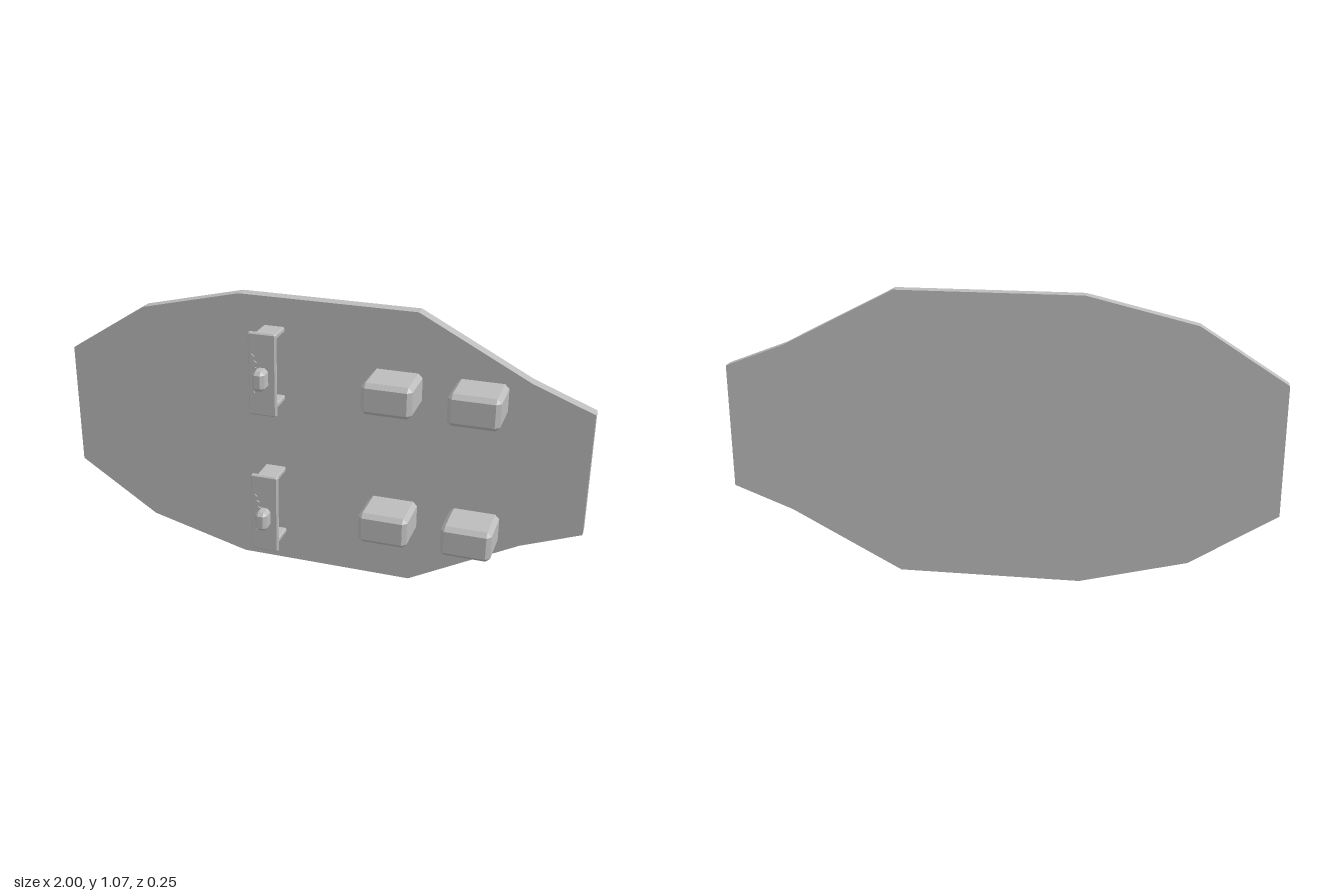
import * as THREE from 'three';
import { ConvexGeometry } from 'three/addons/geometries/ConvexGeometry.js';

const grey = new THREE.MeshStandardMaterial({ color: 0xbcbcbc });
grey.name = 'grey';

// Box with flat chamfered edges, given by its extents
function chamferBox(name, [x0, x1], [y0, y1], [z0, z1], c) {
  const half = [(x1 - x0) / 2, (y1 - y0) / 2, (z1 - z0) / 2];
  const points = [];
  for (const sx of [-1, 1]) for (const sy of [-1, 1]) for (const sz of [-1, 1]) {
    for (let axis = 0; axis < 3; axis++) {
      const p = half.map((h, i) => (i === axis ? h : h - c));
      points.push(new THREE.Vector3(p[0] * sx, p[1] * sy, p[2] * sz));
    }
  }
  const mesh = new THREE.Mesh(new ConvexGeometry(points), grey);
  mesh.position.set((x0 + x1) / 2, (y0 + y1) / 2, (z0 + z1) / 2);
  mesh.name = name;
  return mesh;
}

// Bracketed control panel with a knob and an arc of small marks
function createPanel(y, knobY) {
  const g = new THREE.Group();
  g.name = 'controlPanel';
  g.add(chamferBox('facePlate', [-0.216, -0.11], [y - 0.158, y + 0.158], [0.037, 0.055], 0.005));
  for (const s of [-1, 1]) {
    const armY = y + s * 0.133;
    g.add(chamferBox('bracketArm', [-0.205, -0.124], [armY - 0.01, armY + 0.01], [-0.081, 0.037], 0.004));
  }
  g.add(chamferBox('knobStem', [-0.178, -0.15], [knobY - 0.007, knobY + 0.007], [0.05, 0.075], 0.002));
  g.add(chamferBox('knob', [-0.177, -0.13], [knobY - 0.038, knobY + 0.038], [0.064, 0.127], 0.013));
  for (let i = -3; i <= 3; i++) {
    const mark = new THREE.Mesh(new THREE.BoxGeometry(0.013, 0.006, 0.008), grey);
    mark.position.set(-0.18 - 0.0018 * i * i, y + i * 0.024, 0.056);
    mark.rotation.z = -i * 0.25;
    mark.name = 'dialMark';
    g.add(mark);
  }
  return g;
}

export function createModel() {
  const model = new THREE.Group();
  model.name = 'panelBoard';

  // Faceted backing board
  const outline = [
    [-1, 0.3], [-0.69, 0.1], [-0.3, 0], [0.37, 0], [0.78, 0.22], [1, 0.305],
    [1, 0.77], [0.78, 0.855], [0.37, 1.068], [-0.3, 1.068], [-0.69, 0.975], [-1, 0.778],
  ].map(([x, y]) => new THREE.Vector2(x, y));
  const board = new THREE.Mesh(
    new THREE.ExtrudeGeometry(new THREE.Shape(outline), { depth: 0.046, bevelEnabled: false }), grey);
  board.position.z = -0.126;
  board.name = 'backingBoard';
  model.add(board);

  // Two control panels
  model.add(createPanel(0.817, 0.817), createPanel(0.256, 0.256));

  // Two rows of chamfered blocks
  for (const y of [0.282, 0.79]) for (const x of [0.305, 0.611]) {
    model.add(chamferBox('block', [x - 0.092, x + 0.092], [y - 0.059, y + 0.059], [-0.081, 0.093], 0.016));
  }
  return model;
}
